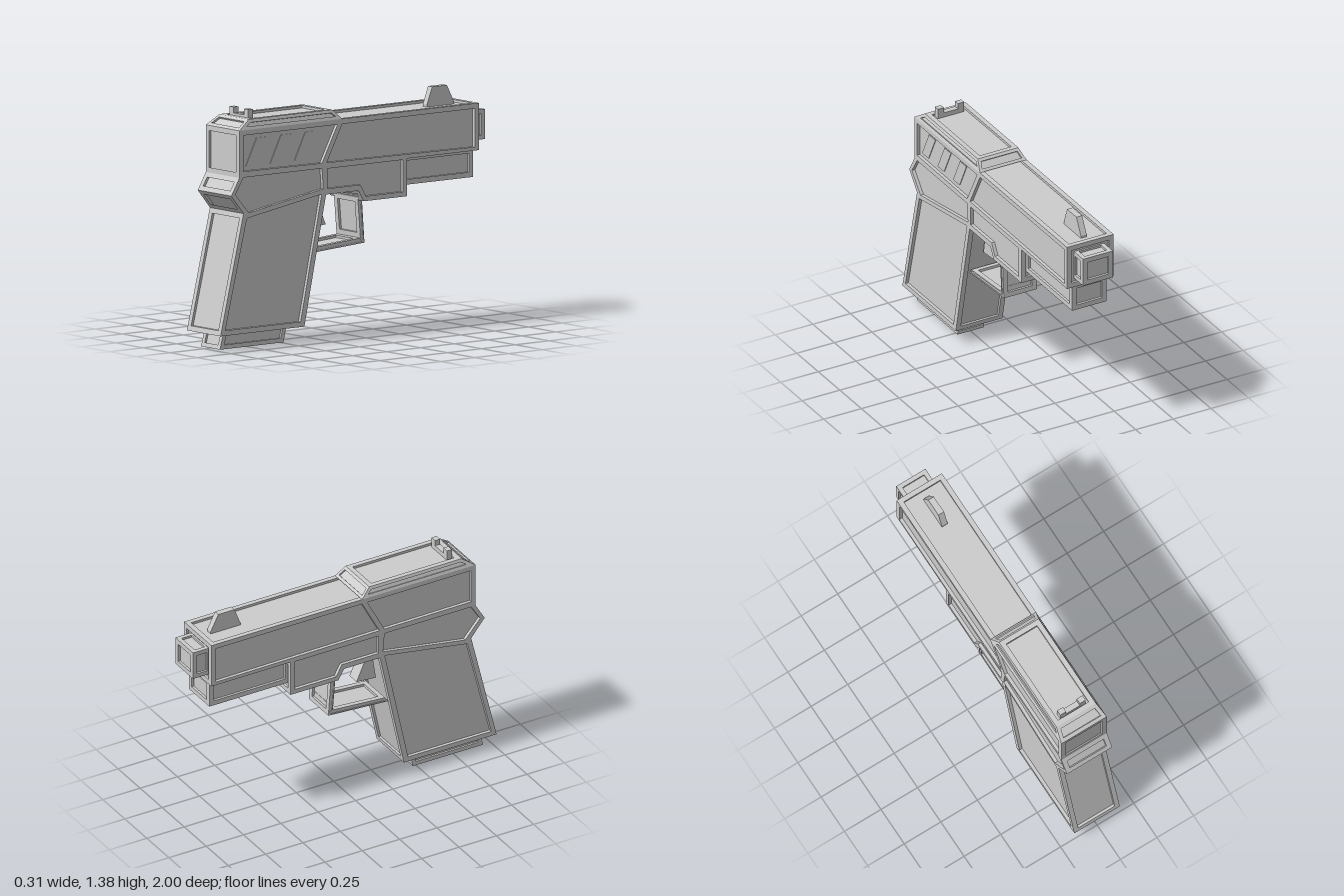
import * as THREE from 'three';

const metal = new THREE.MeshStandardMaterial({ color: 0xcccccc });
metal.name = 'light grey';

const V = (x, y, z = 0) => new THREE.Vector3(x, y, z);
const BORDER = 0.03, RECESS = 0.015, HALF = 0.155;

// Side-profile points are [z, y], counter-clockwise as seen from +x.
const flat = pts => pts.map(([z, y]) => V(-z, y));

// Mitred inset of a planar loop.
function insetLoop(loop, t, normal) {
  const n = loop.length;
  return loop.map((p, i) => {
    const a = p.clone().sub(loop[(i + n - 1) % n]).normalize();
    const b = loop[(i + 1) % n].clone().sub(p).normalize();
    const na = normal.clone().cross(a), nb = normal.clone().cross(b);
    const k = t / (1 + na.dot(nb));
    return p.clone().addScaledVector(na.add(nb), k);
  });
}

function mesh(name, geometry) {
  const m = new THREE.Mesh(geometry, metal);
  m.name = name;
  return m;
}

// Extrude a side profile from x0 to x1.
function slab(name, loop, x0, x1, holes = []) {
  const shape = new THREE.Shape(loop.map(p => new THREE.Vector2(p.x, p.y)));
  shape.holes = holes.map(h => new THREE.Path(h.map(p => new THREE.Vector2(p.x, p.y))));
  const g = new THREE.ExtrudeGeometry(shape, { depth: x1 - x0, bevelEnabled: false });
  g.translate(0, 0, x0);
  g.rotateY(Math.PI / 2);
  return mesh(name, g);
}

// Six-sided block with a recessed panel in every face; points are [z, y, halfWidth].
function panelledBlock(name, pts, maxBorder = BORDER) {
  const L = pts.map(([z, y, w]) => V(w, y, z));
  const R = pts.map(([z, y, w]) => V(-w, y, z));
  const faces = [L, [...R].reverse()];
  for (let i = 0; i < 4; i++) {
    const j = (i + 1) % 4;
    faces.push([L[i], R[i], R[j], L[j]]);
  }
  const pos = [];
  const quad = (a, b, c, d) => [a, b, c, a, c, d].forEach(p => pos.push(p.x, p.y, p.z));
  for (const f of faces) {
    const normal = f[1].clone().sub(f[0]).cross(f[2].clone().sub(f[1])).normalize();
    const shortest = Math.min(...f.map((p, i) => p.distanceTo(f[(i + 1) % 4])));
    const border = Math.min(maxBorder, shortest * 0.22);
    const rim = insetLoop(f, border, normal);
    const floor = rim.map(p => p.clone().addScaledVector(normal, -Math.min(RECESS, border * 0.5)));
    for (let i = 0; i < 4; i++) {
      const j = (i + 1) % 4;
      quad(f[i], f[j], rim[j], rim[i]);
      quad(rim[i], rim[j], floor[j], floor[i]);
    }
    quad(...floor);
  }
  const g = new THREE.BufferGeometry();
  g.setAttribute('position', new THREE.Float32BufferAttribute(pos, 3));
  g.computeVertexNormals();
  return mesh(name, g);
}

const withWidth = (pts, w) => pts.map(([z, y]) => [z, y, w]);

export function createModel() {
  const model = new THREE.Group();
  model.name = 'pistol';

  // Main body: core, side frames and cross bars at each profile corner
  const body = new THREE.Group();
  body.name = 'body';
  const outline = flat([
    [0.86, 1.275], [0.86, 1.0], [0.92, 0.9], [0.83, 0.79], [1.0, 0.09], [0.38, 0.09],
    [0.22, 0.845], [-0.02, 0.845], [-0.06, 0.78], [-0.38, 0.78], [-0.38, 1.0],
    [-0.91, 1.0], [-0.91, 1.275],
  ]);
  const panels = [
    [[0.83, 1.245], [0.83, 1.035], [0.25, 1.03], [0.135, 1.245]],
    [[0.1, 1.245], [0.215, 1.03], [-0.88, 1.02], [-0.88, 1.245]],
    [[0.83, 1.0], [0.89, 0.905], [0.79, 0.79], [0.24, 0.88], [0.25, 1.0]],
    [[0.21, 0.995], [0.21, 0.878], [-0.035, 0.878], [-0.075, 0.808], [-0.35, 0.808], [-0.35, 0.995]],
    [[0.805, 0.76], [0.965, 0.12], [0.408, 0.12], [0.252, 0.85]],
  ].map(flat);
  const up = V(0, 0, 1);
  body.add(slab('bodyCore', insetLoop(outline, RECESS, up), -HALF + 0.02, HALF - 0.02));
  body.add(slab('leftFrame', outline, HALF - BORDER, HALF, panels));
  body.add(slab('rightFrame', outline, -HALF, -HALF + BORDER, panels));
  const inner = insetLoop(outline, BORDER, up);
  outline.forEach((p, i) => {
    const n = outline.length;
    const along = q => p.clone().addScaledVector(q.clone().sub(p).normalize(), BORDER);
    const bar = [p, along(outline[(i + 1) % n]), inner[i], along(outline[(i + n - 1) % n])];
    body.add(slab('crossBar', bar, -HALF + BORDER, HALF - BORDER));
  });
  model.add(body);

  // Slanted grip strips on the left of the slide
  for (let i = 0; i < 3; i++) {
    const z = 0.8 - i * 0.18;
    const strip = flat([[z, 1.06], [z - 0.075, 1.06], [z - 0.155, 1.22], [z - 0.08, 1.22]]);
    model.add(slab('slideStrip', strip, HALF - 0.021, HALF - 0.016));
  }

  // Raised, bevelled rear deck
  model.add(panelledBlock('rearDeck',
    [[0.86, 1.275, 0.155], [0.1, 1.275, 0.155], [0.16, 1.332, 0.135], [0.775, 1.332, 0.135]]));

  // Muzzle, rail and magazine base
  model.add(panelledBlock('muzzle',
    withWidth([[-0.88, 1.05], [-1.0, 1.05], [-1.0, 1.225], [-0.88, 1.225]], 0.1)));
  model.add(panelledBlock('frontRail',
    withWidth([[-0.36, 0.84], [-0.9, 0.84], [-0.9, 1.01], [-0.36, 1.01]], 0.115)));
  model.add(panelledBlock('magazineBase',
    withWidth([[0.95, 0], [0.48, 0], [0.455, 0.11], [0.92, 0.11]], 0.087)));

  // Trigger guard and trigger
  model.add(panelledBlock('guardBottom',
    withWidth([[0.3, 0.505], [-0.1, 0.53], [-0.07, 0.56], [0.28, 0.535]], 0.11)));
  model.add(panelledBlock('guardFront',
    withWidth([[-0.07, 0.56], [-0.1, 0.53], [-0.08, 0.8], [-0.05, 0.8]], 0.11)));
  model.add(slab('trigger', flat([[0.26, 0.64], [0.13, 0.65], [0.225, 0.86]]), -0.04, 0.04));

  // Sights
  model.add(slab('frontSight',
    flat([[-0.636, 1.25], [-0.834, 1.25], [-0.834, 1.275], [-0.783, 1.375], [-0.674, 1.375], [-0.636, 1.275]]),
    -0.019, 0.019));
  const sightBase = mesh('rearSightBase', new THREE.BoxGeometry(0.174, 0.035, 0.034));
  sightBase.position.set(0, 1.328, 0.724);
  model.add(sightBase);
  for (const s of [-1, 1]) {
    const post = mesh('rearSightPost', new THREE.BoxGeometry(0.04, 0.06, 0.034));
    post.position.set(s * 0.067, 1.35, 0.724);
    model.add(post);
  }
  return model;
}
